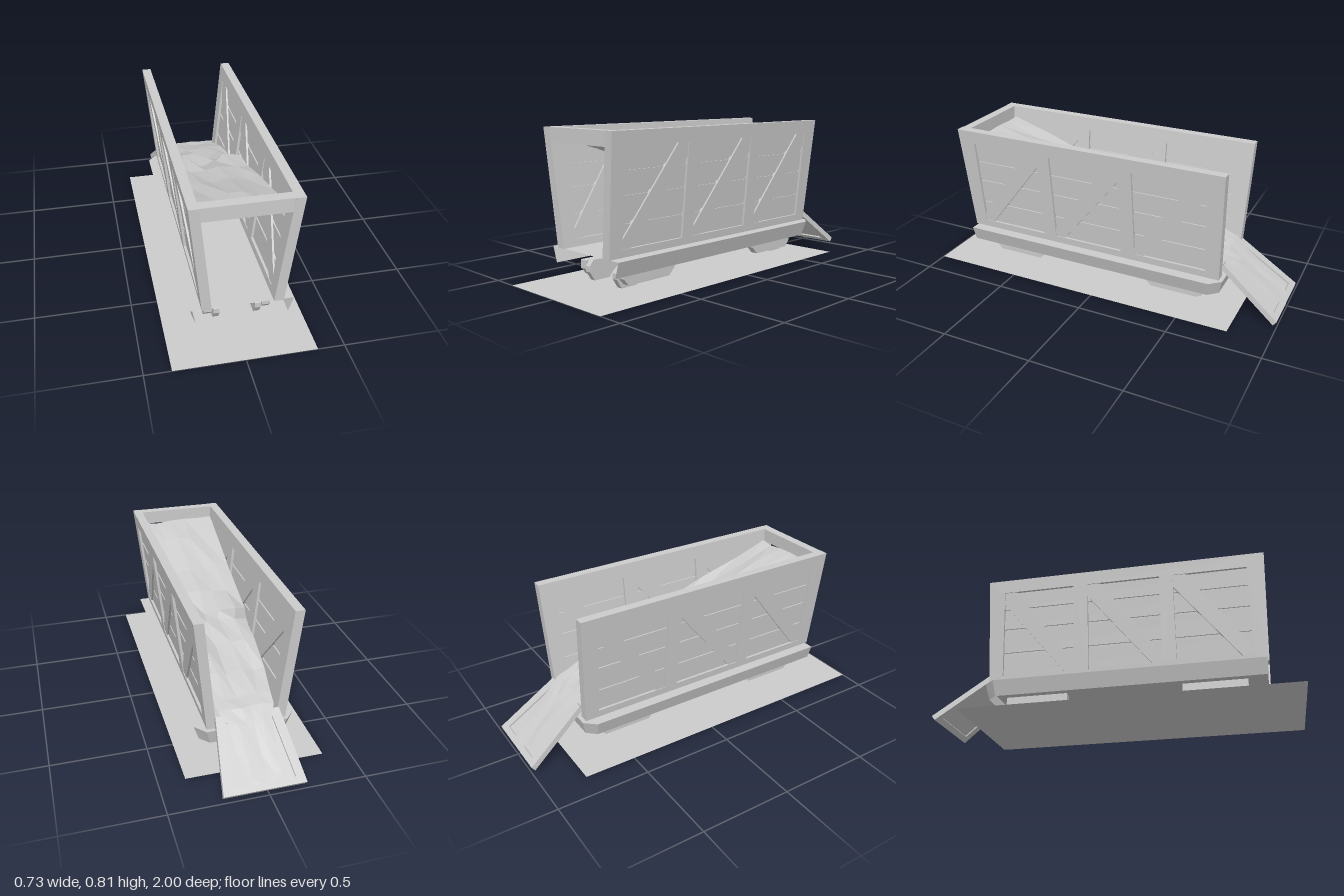
import * as THREE from 'three';

const CX = 0.02; // the cart sits slightly off the ground sheet's centre line
const grey = new THREE.MeshStandardMaterial({ color: 0xcccccc, flatShading: true });
const thin = new THREE.MeshStandardMaterial({ color: 0xcccccc, flatShading: true, side: THREE.DoubleSide });

function add(parent, name, geometry, material = grey) {
  const mesh = new THREE.Mesh(geometry, material);
  mesh.name = name;
  parent.add(mesh);
  return mesh;
}

const polygon = (points) => new THREE.Shape(points.map(([a, b]) => new THREE.Vector2(a, b)));
const rect = (a0, b0, a1, b1) => [[a0, b0], [a1, b0], [a1, b1], [a0, b1]];

// Outer face of the flared side walls at height y
const wallX = (y) => 0.206 + 0.106 * (y - 0.2);

// Extrudes a (z, y) outline into a slab that follows the flare of a side wall
function wallSlab(shape, inset, depth, side) {
  const g = new THREE.ExtrudeGeometry(shape, { depth, bevelEnabled: false });
  const p = g.attributes.position;
  for (let i = 0; i < p.count; i++) {
    const a = p.getX(i), y = p.getY(i), c = p.getZ(i);
    const x = side > 0 ? wallX(y) - inset - c : -wallX(y) + inset + depth - c;
    p.setXYZ(i, x, y, a);
  }
  g.computeVertexNormals();
  return g;
}

// Lofts rows of points into an open surface
function loft(rows) {
  const n = rows[0].length, index = [];
  for (let i = 0; i < rows.length - 1; i++) {
    for (let j = 0; j < n - 1; j++) {
      const a = i * n + j, b = a + n;
      index.push(a, a + 1, b, a + 1, b + 1, b);
    }
  }
  const g = new THREE.BufferGeometry();
  g.setAttribute('position', new THREE.Float32BufferAttribute(rows.flat(2), 3));
  g.setIndex(index);
  g.computeVertexNormals();
  return g;
}

function sideWall(side) {
  const wall = new THREE.Group();
  wall.name = side > 0 ? 'leftWall' : 'rightWall';
  const bays = [[0.36, 0.76], [-0.12, 0.285], [-0.605, -0.2]];
  const [y0, y1] = [0.24, 0.735];

  // Frame with three open bays
  const frame = polygon([[-0.68, 0.2], [0.835, 0.2], [0.858, 0.81], [-0.7, 0.81]]);
  for (const [z0, z1] of bays) frame.holes.push(polygon(rect(z0, y0, z1, y1)));
  add(wall, 'wallFrame', wallSlab(frame, 0, 0.05, side));

  // Diagonal braces, visible on both faces
  for (const [z0, z1] of bays) {
    const brace = polygon([[z1, y0], [z1 - 0.055, y0], [z0, y1 - 0.07],
      [z0, y1], [z0 + 0.07, y1], [z1, y0 + 0.045]]);
    add(wall, 'diagonalBrace', wallSlab(brace, 0.004, 0.042, side));
  }

  // Planks on a thinner core, leaving grooves between them
  const levels = [0.23, 0.37, 0.51, 0.63, 0.745];
  for (let i = 0; i < 4; i++) {
    const plank = polygon(rect(-0.615, levels[i] + 0.008, 0.77, levels[i + 1] - 0.008));
    add(wall, 'plank', wallSlab(plank, 0.014, 0.022, side));
  }
  add(wall, 'plankCore', wallSlab(polygon(rect(-0.615, 0.23, 0.77, 0.745)), 0.021, 0.008, side));
  return wall;
}

// Floor and flared skirt, open at the front and underneath
function base() {
  const group = new THREE.Group();
  group.name = 'base';
  const top = [[0.262, 0.825], [0.262, -0.64], [0.21, -0.7]];
  const bottom = [[0.235, 0.825], [0.235, -0.63], [0.19, -0.68]];
  const ring = (pts, y) => [...pts, ...pts.slice().reverse().map(([x, z]) => [-x, z])]
    .map(([x, z]) => [x, y, z]);
  add(group, 'skirt', loft([ring(bottom, 0.115), ring(top, 0.198)]), thin);
  const outline = ring(top, 0).map(([x, , z]) => [x, -z]);
  const floor = new THREE.ShapeGeometry(polygon(outline));
  floor.rotateX(-Math.PI / 2).translate(0, 0.198, 0);
  add(group, 'floor', floor, thin);
  return group;
}

// Running gear: a long beam with a faceted wheel at its outer end
function runningGear(side, end) {
  const gear = new THREE.Group();
  gear.name = 'runningGear';
  const prism = (points, x, width) => {
    const shape = polygon(points.map(([z, y]) => [end > 0 ? z : 0.135 - z, y]));
    const g = new THREE.ExtrudeGeometry(shape, { depth: width, bevelEnabled: false });
    return g.rotateY(-Math.PI / 2).translate(side * x + width / 2, 0, 0);
  };
  add(gear, 'beam', prism([[0.38, 0.125], [0.38, 0.085], [0.42, 0.045], [0.69, 0.045],
    [0.72, 0.08], [0.72, 0.125]], 0.152, 0.042));
  add(gear, 'wheel', prism([[0.57, 0.1], [0.57, 0.055], [0.6, 0.022], [0.695, 0.022],
    [0.725, 0.07], [0.725, 0.1], [0.7, 0.131], [0.595, 0.131]], 0.108, 0.032));
  return gear;
}

// Lowered tailgate serving as a ramp
function tailgate() {
  const ramp = new THREE.Group();
  ramp.name = 'tailgateRamp';
  const L = 0.39;
  const outline = [[-0.165, 0], [0.165, 0], [0.21, L], [-0.21, L]];
  const frame = polygon(outline);
  frame.holes.push(polygon([[-0.12, 0.04], [0.12, 0.04], [0.16, L - 0.035], [-0.16, L - 0.035]]));
  add(ramp, 'rampFrame', new THREE.ExtrudeGeometry(frame, { depth: 0.03, bevelEnabled: false }));
  const panel = polygon([[-0.13, 0.03], [0.13, 0.03], [0.165, L - 0.03], [-0.165, L - 0.03]]);
  const boards = new THREE.ExtrudeGeometry(panel, { depth: 0.012, bevelEnabled: false });
  add(ramp, 'rampPanel', boards.translate(0, 0, 0.008));
  ramp.position.set(0, 0.25, -0.672);
  ramp.rotation.x = Math.atan2(-0.796, -0.605);
  return ramp;
}

// Crumpled sheet sloping from the front rail down onto the ramp
function slopeSheet() {
  let seed = 7;
  const noise = () => {
    seed = (seed * 16807) % 2147483647;
    return seed / 2147483647 - 0.5;
  };
  // z, y, half width, crumple
  const sections = [
    [0.79, 0.74, 0.212, 0.02], [0.58, 0.69, 0.205, 0.035], [0.33, 0.61, 0.2, 0.04],
    [0.12, 0.55, 0.196, 0.035], [-0.045, 0.51, 0.19, 0.035], [-0.08, 0.465, 0.188, 0.02],
    [-0.25, 0.42, 0.18, 0.035], [-0.44, 0.355, 0.17, 0.035], [-0.6, 0.305, 0.15, 0.02],
    [-0.67, 0.288, 0.145, 0.01], [-0.74, 0.245, 0.11, 0.006], [-0.86, 0.153, 0.1, 0.006],
    [-0.95, 0.084, 0.095, 0.004], [-0.98, 0.061, 0.05, 0.002],
  ];
  const fold = [-0.01, 0.03, -0.02, 0.01, 0.025, 0];
  const rows = sections.map(([z, y, w, c], i) => fold.map((f, j) => {
    const t = (j / (fold.length - 1)) * 2 - 1;
    const wobble = i === 4 || i === 5 ? f : 0;
    const inner = Math.abs(t) < 1 ? 1 : 0;
    return [w * t + noise() * c * inner, y + noise() * c + wobble * 0.6, z + noise() * c * 1.2 * inner - wobble];
  }));
  return loft(rows);
}

export function createModel() {
  const model = new THREE.Group();
  model.name = 'openCart';

  // Ground sheet
  const sheet = new THREE.PlaneGeometry(0.726, 1.78).rotateX(-Math.PI / 2).translate(0, 0, 0.11);
  add(model, 'groundSheet', sheet, thin);

  const cart = new THREE.Group();
  cart.name = 'cart';
  cart.position.x = CX;
  model.add(cart);

  cart.add(base(), tailgate());
  for (const side of [1, -1]) {
    cart.add(sideWall(side));
    for (const end of [1, -1]) cart.add(runningGear(side, end));
  }

  // Rail joining the walls across the front
  const rail = new THREE.BoxGeometry(0.45, 0.075, 0.052).translate(0, 0.7725, 0.829);
  add(cart, 'frontRail', rail);
  add(cart, 'slopeSheet', slopeSheet(), thin);
  return model;
}
